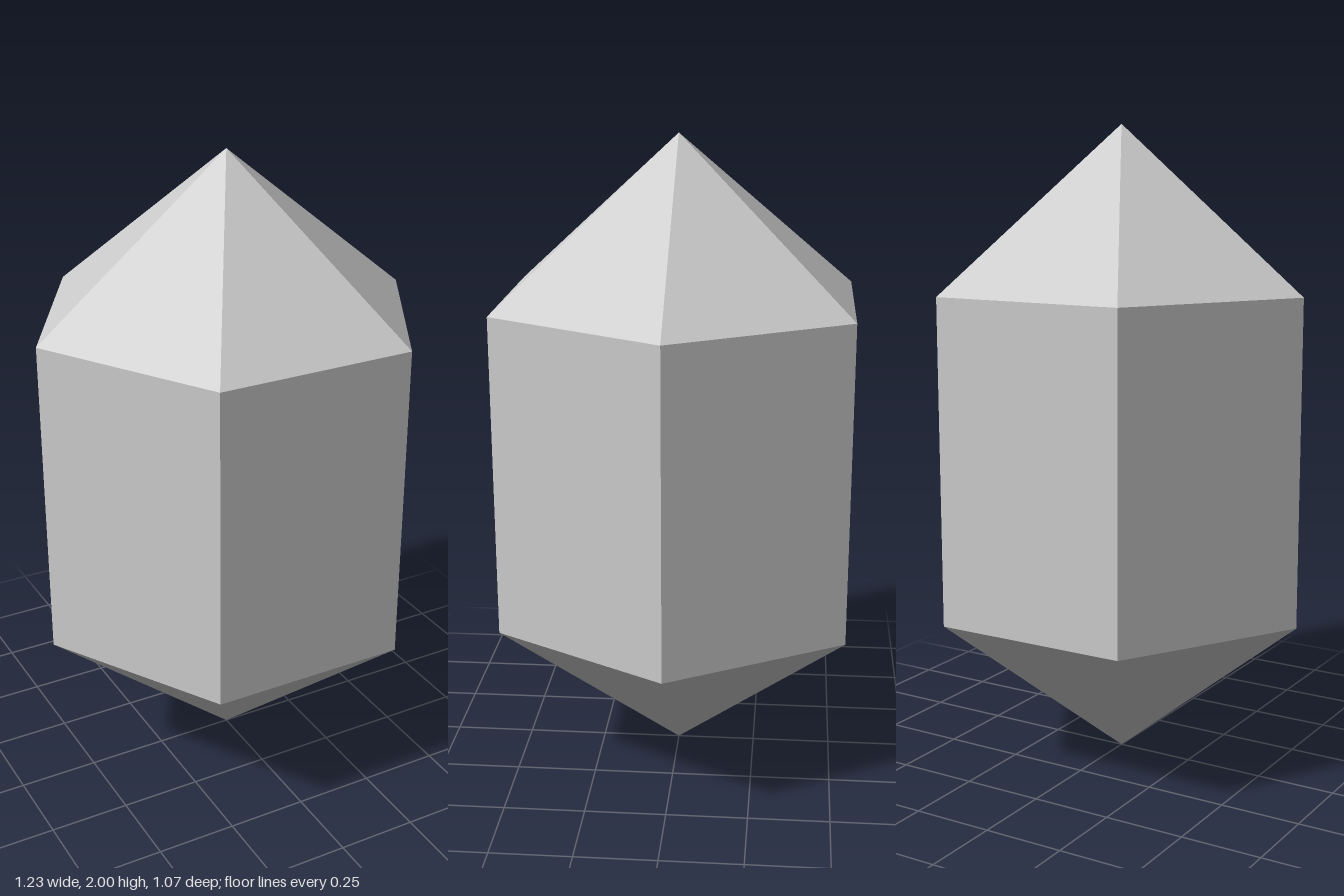
import * as THREE from 'three';

const RADIUS = 0.617;
const SIDES = 6;

export function createModel() {
  const model = new THREE.Group();
  model.name = 'crystal';
  const paleGrey = new THREE.MeshStandardMaterial({ color: 0xcccccc, flatShading: true });
  paleGrey.name = 'paleGrey';

  // Open six-sided section with flat faces toward the front and back
  function addSection(name, topRadius, bottomRadius, bottomY, height) {
    const geometry = new THREE.CylinderGeometry(
      topRadius, bottomRadius, height, SIDES, 1, true, Math.PI / SIDES);
    const mesh = new THREE.Mesh(geometry, paleGrey);
    mesh.name = name;
    mesh.position.y = bottomY + height / 2;
    model.add(mesh);
  }

  addSection('lowerPoint', RADIUS, 0, 0, 0.5);
  addSection('prismBody', RADIUS, RADIUS, 0.5, 1);
  addSection('upperPoint', 0, RADIUS, 1.5, 0.5);

  return model;
}
